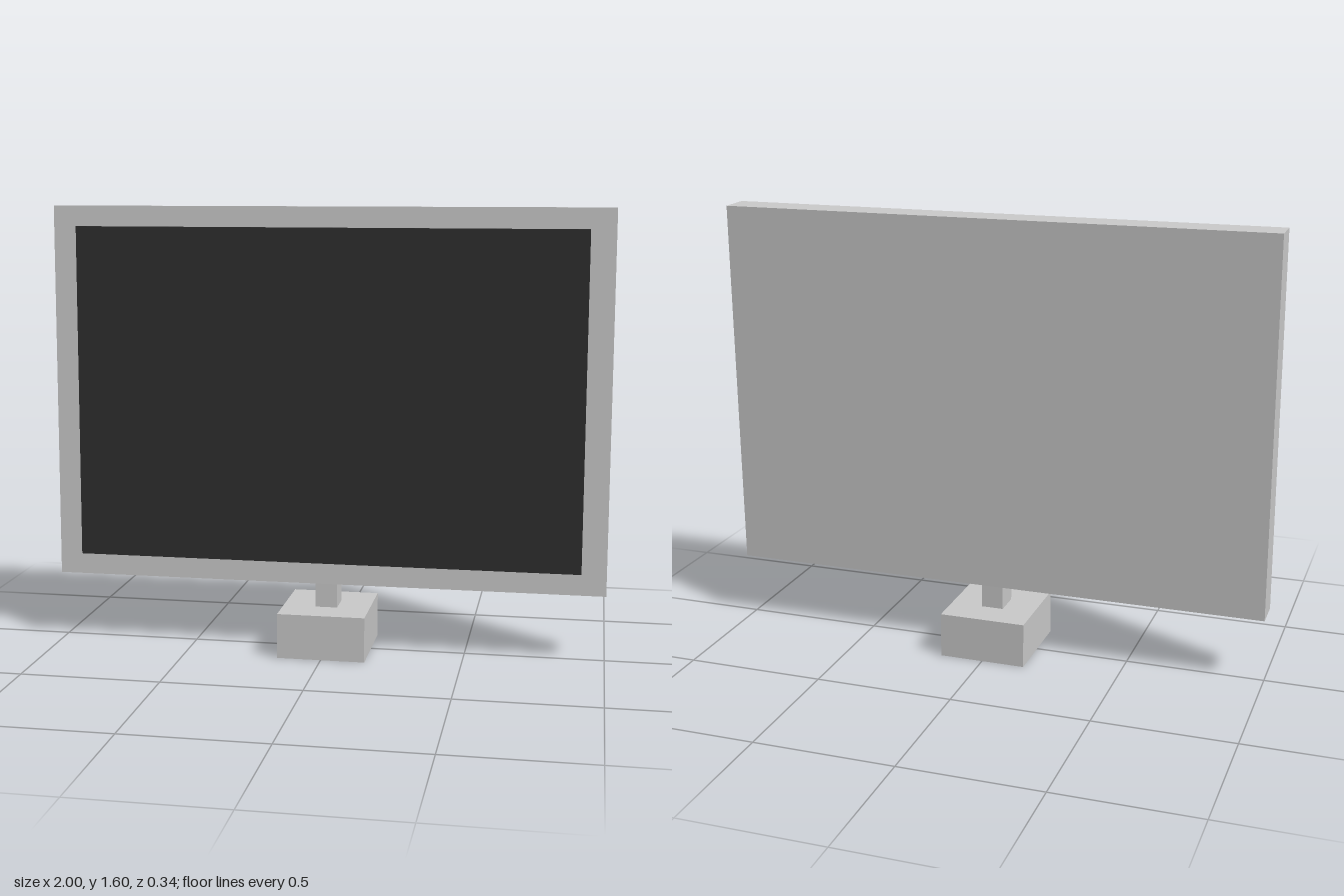
import * as THREE from 'three';

const grey = new THREE.MeshStandardMaterial({ color: 0xcccccc, flatShading: true });
const dark = new THREE.MeshStandardMaterial({ color: 0x2e2e2e, flatShading: true });

function box(name, size, position, material = grey) {
  const mesh = new THREE.Mesh(new THREE.BoxGeometry(...size), material);
  mesh.name = name;
  mesh.position.set(...position);
  return mesh;
}

export function createModel() {
  const model = new THREE.Group();
  model.name = 'monitor';

  // Stand: block foot and short neck reaching just inside the casing
  model.add(box('base', [0.316, 0.163, 0.338], [0, 0.0815, 0]));
  model.add(box('neck', [0.08, 0.1, 0.1], [0, 0.21, 0]));

  // Display leans slightly backwards; the screen stands proud of the casing
  const display = new THREE.Group();
  display.name = 'display';
  display.position.set(0, 0.927, -0.013);
  display.rotation.x = -0.02;
  display.add(box('casing', [2, 1.353, 0.116], [0, 0, 0]));
  display.add(box('screen', [1.824, 1.2, 0.03], [0, 0.003, 0.064], dark));
  model.add(display);

  return model;
}
